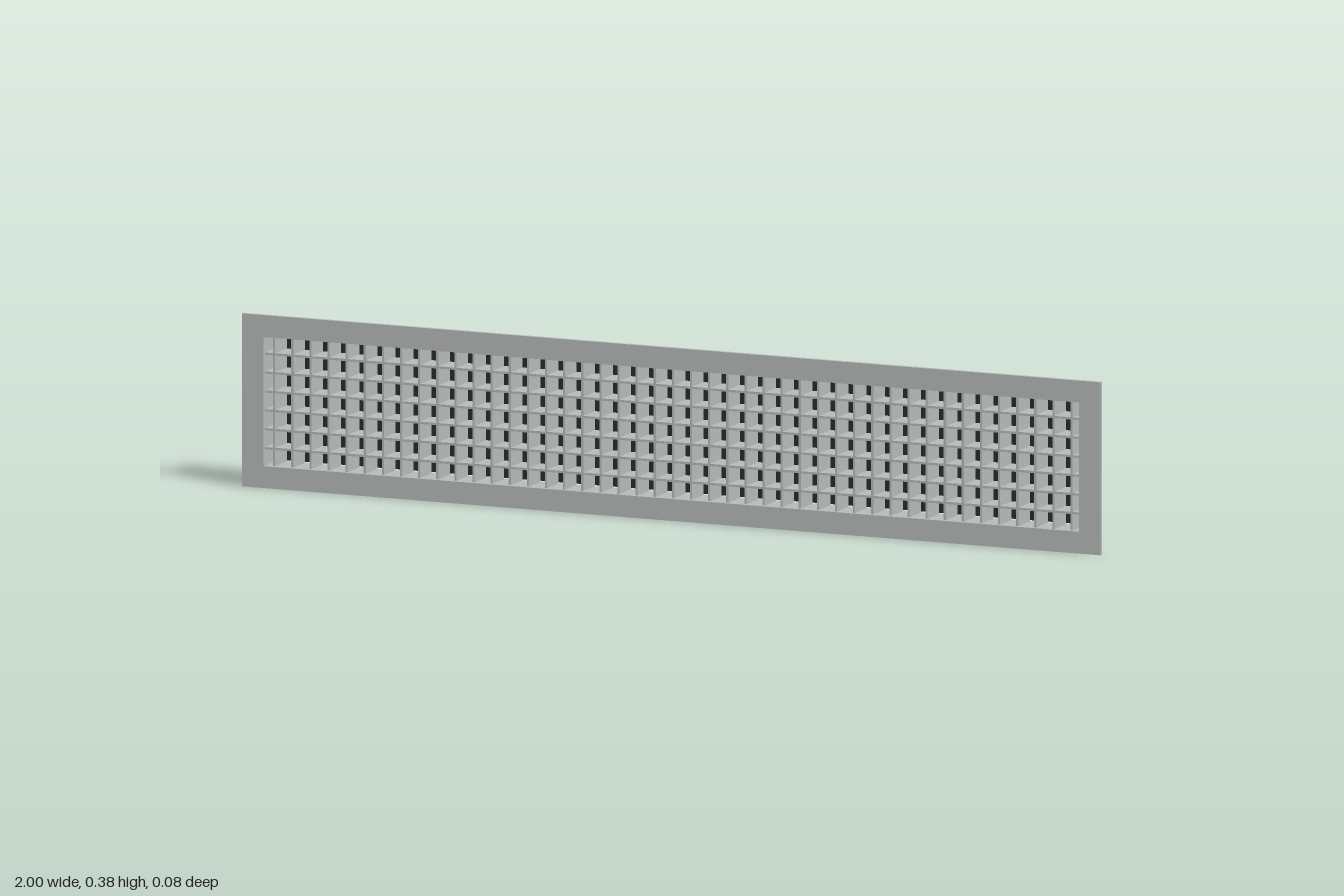
import * as THREE from 'three';

const grey = new THREE.MeshStandardMaterial({ color: 0xb6bab9 });
grey.name = 'paintedGrey';
const black = new THREE.MeshStandardMaterial({ color: 0x2b2b2b });
black.name = 'blackMesh';

const MID_Y = 0.1875;

// Rectangular ring extruded along z between two depths
function ring(name, outerW, outerH, innerW, innerH, zBack, zFront) {
  const rect = (path, w, h) => path
    .moveTo(-w / 2, -h / 2).lineTo(w / 2, -h / 2)
    .lineTo(w / 2, h / 2).lineTo(-w / 2, h / 2).closePath();
  const shape = new THREE.Shape();
  rect(shape, outerW, outerH);
  const hole = new THREE.Path();
  rect(hole, innerW, innerH);
  shape.holes.push(hole);
  const geometry = new THREE.ExtrudeGeometry(shape, { depth: zFront - zBack, bevelEnabled: false });
  const mesh = new THREE.Mesh(geometry, grey);
  mesh.name = name;
  mesh.position.set(0, MID_Y, zBack);
  return mesh;
}

function box(name, w, h, d, x, y, z, material) {
  const mesh = new THREE.Mesh(new THREE.BoxGeometry(w, h, d), material);
  mesh.name = name;
  mesh.position.set(x, y, z);
  return mesh;
}

export function createModel() {
  const model = new THREE.Group();
  model.name = 'ventGrille';

  const innerW = 1.9, innerH = 0.28;
  const zBack = -0.031, zFront = 0.03;

  // Flat face flange and the sleeve behind it
  model.add(ring('flange', 2, 0.375, innerW, innerH, zFront, 0.039));
  model.add(ring('sleeve', 1.91, 0.288, innerW, innerH, zBack, zFront));

  // Egg-crate core
  const core = new THREE.Group();
  core.name = 'eggCrateCore';
  const depth = zFront - zBack, zMid = (zFront + zBack) / 2;
  const columns = 45, pitchX = innerW / columns;
  for (let i = 0; i < columns; i++) {
    const x = (i - (columns - 1) / 2) * pitchX;
    core.add(box('verticalBlade', 0.005, innerH, depth, x, MID_Y, zMid, grey));
  }
  const rows = 6, pitchY = 0.041;
  for (let i = 0; i < rows; i++) {
    const y = MID_Y + (i - (rows - 1) / 2) * pitchY;
    core.add(box('horizontalBlade', innerW, 0.005, depth, 0, y, zMid, grey));
  }
  model.add(core);

  // Dark filter sheet just behind the sleeve
  model.add(box('filterSheet', 1.9, 0.277, 0.003, 0, MID_Y, -0.0375, black));

  return model;
}
